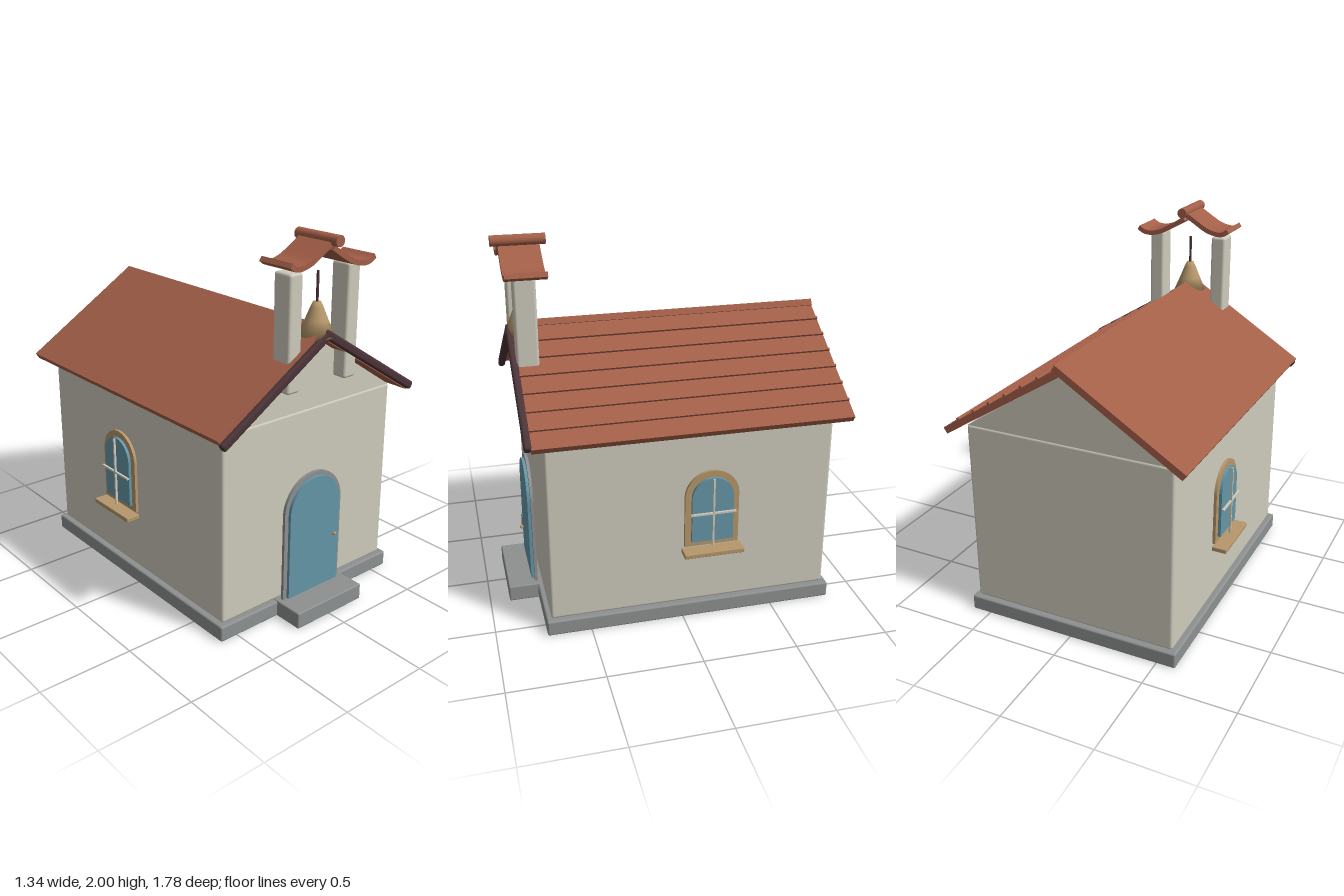
import * as THREE from 'three';
import { RoundedBoxGeometry } from 'three/addons/geometries/RoundedBoxGeometry.js';

const mat = (name, color) => {
  const m = new THREE.MeshStandardMaterial({ color });
  m.name = name;
  return m;
};

export function createModel() {
  const wall = mat('plaster', 0xcecbbc);
  const stone = mat('stone', 0x8e9191);
  const tile = mat('terracotta', 0xa35f48);
  const trim = mat('dark wood', 0x4c3438);
  const paint = mat('blue', 0x6596a7);
  const wood = mat('tan', 0xb6976b);
  const model = new THREE.Group();

  const add = (name, geo, material, x = 0, y = 0, z = 0, parent = model) => {
    const mesh = new THREE.Mesh(geo, material);
    mesh.name = name;
    mesh.position.set(x, y, z);
    parent.add(mesh);
    return mesh;
  };
  const extrude = (shape, depth) =>
    new THREE.ExtrudeGeometry(shape, { depth, bevelEnabled: false, curveSegments: 24 });
  // Box from its limits on each axis, rounded when r > 0
  const block = (name, material, [x0, x1], [y0, y1], [z0, z1], r = 0, parent = model) => {
    const s = [x1 - x0, y1 - y0, z1 - z0];
    const geo = r ? new RoundedBoxGeometry(...s, 3, r) : new THREE.BoxGeometry(...s);
    return add(name, geo, material, (x0 + x1) / 2, (y0 + y1) / 2, (z0 + z1) / 2, parent);
  };
  // Round-topped plate shape
  const arch = (half, bottom, top) => {
    const s = new THREE.Shape();
    s.moveTo(-half, bottom);
    s.lineTo(half, bottom);
    s.lineTo(half, top - half);
    s.absarc(0, top - half, half, 0, Math.PI, false);
    s.closePath();
    return s;
  };

  // Base, step and walls
  block('base', stone, [-0.605, 0.605], [0, 0.085], [-0.835, 0.735], 0.01);
  block('doorStep', stone, [-0.228, 0.232], [0, 0.09], [0.6, 0.895], 0.008);
  block('walls', wall, [-0.578, 0.578], [0.085, 1.11], [-0.81, 0.71], 0.015);
  const tri = new THREE.Shape();
  tri.moveTo(-0.575, 1.105);
  tri.lineTo(0.575, 1.105);
  tri.lineTo(0, 1.482);
  tri.closePath();
  add('gable', extrude(tri, 1.51), wall, 0, 0, -0.805);

  // Roof slopes, each hung from the ridge
  const pitch = Math.atan(0.63);
  const slope = (name, side, ridgeY) => {
    const g = new THREE.Group();
    g.name = name;
    g.position.y = ridgeY;
    g.rotation.z = -side * pitch;
    model.add(g);
    return g;
  };
  const span = (side, a, b) => (side > 0 ? [a, b] : [-b, -a]);
  const right = slope('tiledSlope', 1, 1.525);
  block('roofSlab', tile, [0, 0.78], [-0.036, 0], [-0.89, 0.775], 0, right);
  for (let i = 1; i <= 6; i++) {
    const d = (i * 0.0945) / Math.cos(pitch);
    block('tileRib', tile, [d - 0.007, d + 0.007], [-0.005, 0.012], [-0.89, 0.775], 0, right);
  }
  const left = slope('plainSlope', -1, 1.552);
  block('roofSlab', tile, span(-1, 0, 0.79), [-0.036, 0], [-0.89, 0.785], 0, left);
  for (const side of [1, -1]) {
    const g = slope('bargeBoard', side, side > 0 ? 1.54 : 1.528);
    block('board', trim, span(side, 0, 0.785), [-0.046, 0], [0.772, 0.81], 0.014, g);
  }

  // Arched door
  add('doorFrame', extrude(arch(0.2, 0.088, 0.77), 0.016), stone, 0, 0, 0.732);
  add('door', extrude(arch(0.175, 0.095, 0.745), 0.016), paint, 0, 0, 0.748);
  add('doorKnob', new THREE.SphereGeometry(0.01, 16, 12), wood, 0.115, 0.395, 0.796);

  // Arched window on each side wall
  for (const side of [1, -1]) {
    const w = new THREE.Group();
    w.name = 'window';
    w.position.set(side * 0.582, 0, -0.152);
    w.rotation.y = (side * Math.PI) / 2;
    model.add(w);
    add('windowFrame', extrude(arch(0.146, 0.43, 0.86), 0.016), wood, 0, 0, 0, w);
    add('windowPane', extrude(arch(0.112, 0.46, 0.825), 0.016), paint, 0, 0, 0.016, w);
    block('uprightBar', wall, [-0.005, 0.005], [0.435, 0.825], [0.038, 0.05], 0, w);
    block('crossBar', wall, [-0.122, 0.122], [0.623, 0.633], [0.038, 0.05], 0, w);
    block('windowSill', wood, [-0.162, 0.162], [0.395, 0.42], [0.005, 0.085], 0.004, w);
  }

  // Bell tower posts
  for (const side of [1, -1])
    block('bellPost', wall, span(side, 0.15, 0.235), [1.245, 1.835], [0.665, 0.78], 0.015);

  // Bell on its rod
  const bell = [[0, 1.662], [0.02, 1.66], [0.032, 1.635], [0.058, 1.57], [0.092, 1.49], [0, 1.49]]
    .reverse().map(([x, y]) => new THREE.Vector2(x, y));
  add('bell', new THREE.LatheGeometry(bell, 32), wood, 0, 0, 0.722);
  add('bellRod', new THREE.CylinderGeometry(0.007, 0.007, 0.2, 12), trim, 0, 1.712, 0.722);

  // Curved canopy over the bell: a centre line thickened up and down
  const canopy = (name, pts) => {
    const line = new THREE.SplineCurve(pts.map(([x, y]) => new THREE.Vector2(x, y)));
    const upper = [], lower = [];
    for (let i = 0; i <= 20; i++) {
      const p = line.getPoint(i / 20), t = line.getTangent(i / 20);
      const n = new THREE.Vector2(-t.y, t.x).multiplyScalar(0.013);
      upper.push(p.clone().add(n));
      lower.unshift(p.clone().sub(n));
    }
    add(name, extrude(new THREE.Shape([...upper, ...lower]), 0.212), tile, 0, 0, 0.61);
  };
  canopy('canopyRight', [[0, 1.935], [0.07, 1.89], [0.14, 1.852], [0.2, 1.836], [0.25, 1.839], [0.287, 1.86]]);
  canopy('canopyLeft', [[0, 1.968], [-0.07, 1.923], [-0.14, 1.882], [-0.2, 1.865], [-0.24, 1.868], [-0.269, 1.888]]);
  const ridge = add('canopyRidge', new THREE.CylinderGeometry(0.028, 0.028, 0.28, 24), tile, 0, 1.972, 0.72);
  ridge.rotation.x = Math.PI / 2;

  return model;
}
